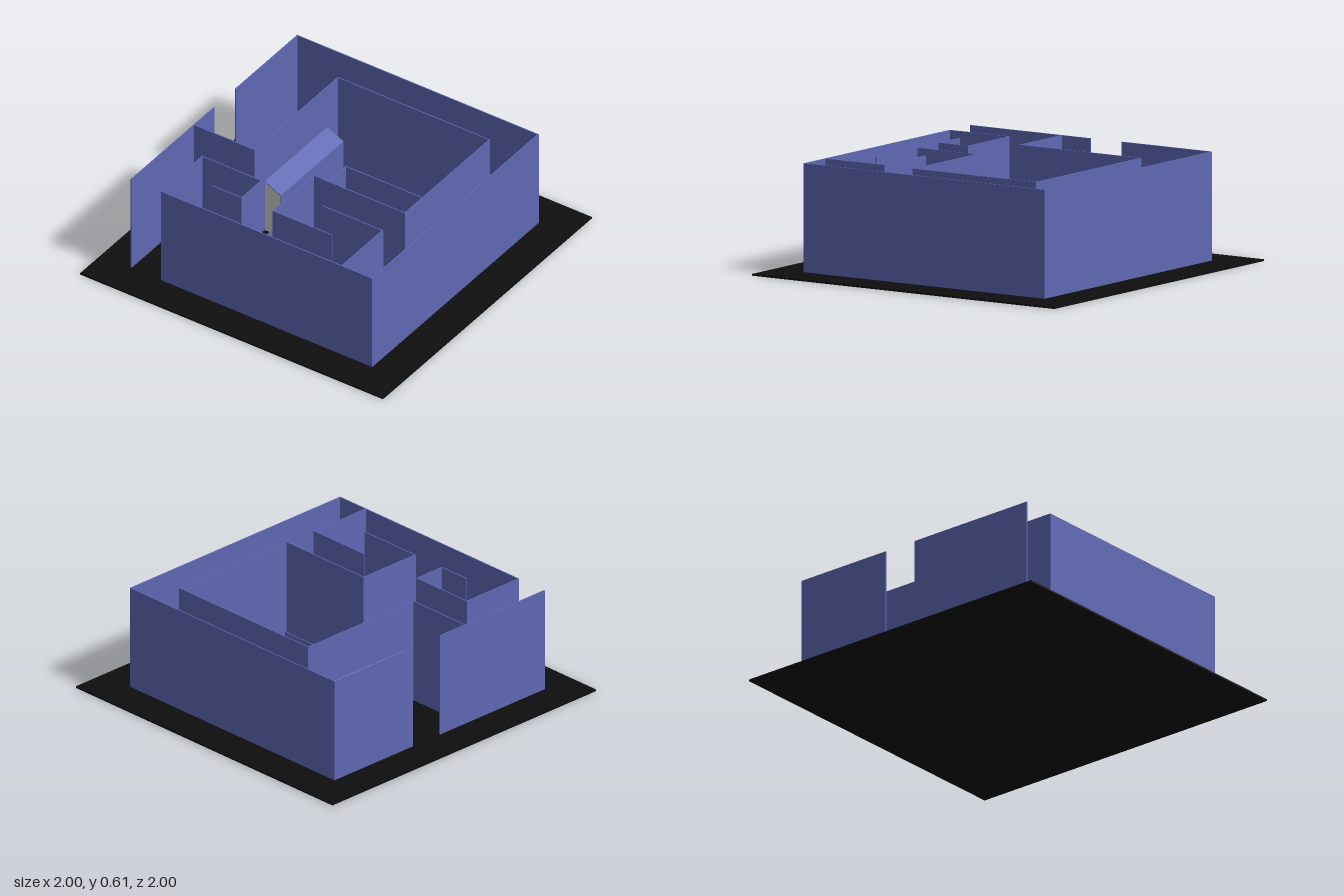
import * as THREE from 'three';

const blue = new THREE.MeshStandardMaterial({ color: 0x5f68b4 });
const black = new THREE.MeshStandardMaterial({ color: 0x0e0e0e });
const grey = new THREE.MeshStandardMaterial({ color: 0xcccccc });

const FLOOR = 0.01;
const THICK = 0.006;

// Upright wall between two points on the floor plan
function wall(name, [x1, z1, x2, z2], height) {
  const w = Math.abs(x2 - x1) + THICK;
  const d = Math.abs(z2 - z1) + THICK;
  const mesh = new THREE.Mesh(new THREE.BoxGeometry(w, height, d), blue);
  mesh.position.set((x1 + x2) / 2, FLOOR + height / 2, (z1 + z2) / 2);
  mesh.name = name;
  return mesh;
}

// Solid with an x/y cross-section running along z
function prism(name, points, length, material) {
  const shape = new THREE.Shape(points.map(([x, y]) => new THREE.Vector2(x, y)));
  const geometry = new THREE.ExtrudeGeometry(shape, { depth: length, bevelEnabled: false });
  geometry.translate(0, 0, -length / 2);
  const mesh = new THREE.Mesh(geometry, material);
  mesh.name = name;
  return mesh;
}

export function createModel() {
  const model = new THREE.Group();
  model.name = 'maze';

  // Floor slab
  const floor = new THREE.Mesh(new THREE.BoxGeometry(2, FLOOR, 2), black);
  floor.position.y = FLOOR / 2;
  floor.name = 'floor';
  model.add(floor);

  // Outer walls, with the entrances left open
  const outer = [
    [-0.8, -0.79, 0.79, -0.79],
    [0.79, -0.79, 0.79, 0.8],
    [-0.6, 0.8, 0.79, 0.8],
    [-0.8, -0.79, -0.8, -0.2],
    [-0.8, 0.01, -0.8, 0.8],
  ];
  outer.forEach((p) => model.add(wall('outerWall', p, 0.6)));

  // Full-height inner walls
  const inner = [
    [-0.4, -0.6, 0.6, -0.6],
    [0.6, -0.6, 0.6, 0.21],
    [0, 0.21, 0.6, 0.21],
    [0, 0.21, 0, 0.6],
    [0, 0.6, 0.39, 0.6],
    [0.2, 0.41, 0.59, 0.41],
    [0.59, 0.41, 0.59, 0.8],
    [-0.4, -0.6, -0.4, 0.2],
    [-0.8, 0.2, -0.4, 0.2],
    [-0.6, 0.41, -0.6, 0.8],
    [-0.6, 0.41, -0.21, 0.41],
    [-0.21, 0.41, -0.21, 0.6],
    [-0.4, 0.6, -0.21, 0.6],
  ];
  inner.forEach((p) => model.add(wall('innerWall', p, 0.6)));

  // Low walls of the central chamber
  const low = [
    [-0.21, -0.4, -0.21, 0.41],
    [-0.21, -0.4, 0.39, -0.4],
    [0, -0.19, 0.6, -0.19],
    [-0.21, 0, 0.39, 0],
  ];
  low.forEach((p) => model.add(wall('lowWall', p, 0.2)));

  // Slightly turned block with a sloping top, set through a wall
  const block = new THREE.Group();
  block.name = 'slopedBlock';
  const core = [[-0.065, FLOOR], [0.056, FLOOR], [0.056, 0.292], [-0.06, 0.338]];
  const cover = [[0.056, FLOOR], [0.06, FLOOR], [0.06, 0.295], [-0.055, 0.341], [-0.055, 0.336], [0.056, 0.292]];
  block.add(prism('blockBody', core, 0.6, grey), prism('blockCover', cover, 0.6, blue));
  block.position.set(-0.345, 0, -0.19);
  block.rotation.y = -0.05;
  // Keep the outer face parallel to the wall while the ends stay skewed
  block.rotation.y = 0;
  block.children.forEach(({ geometry }) => {
    const pos = geometry.attributes.position;
    for (let i = 0; i < pos.count; i++) pos.setZ(i, pos.getZ(i) + 0.08 * pos.getX(i));
    geometry.computeVertexNormals();
  });
  model.add(block);

  return model;
}
